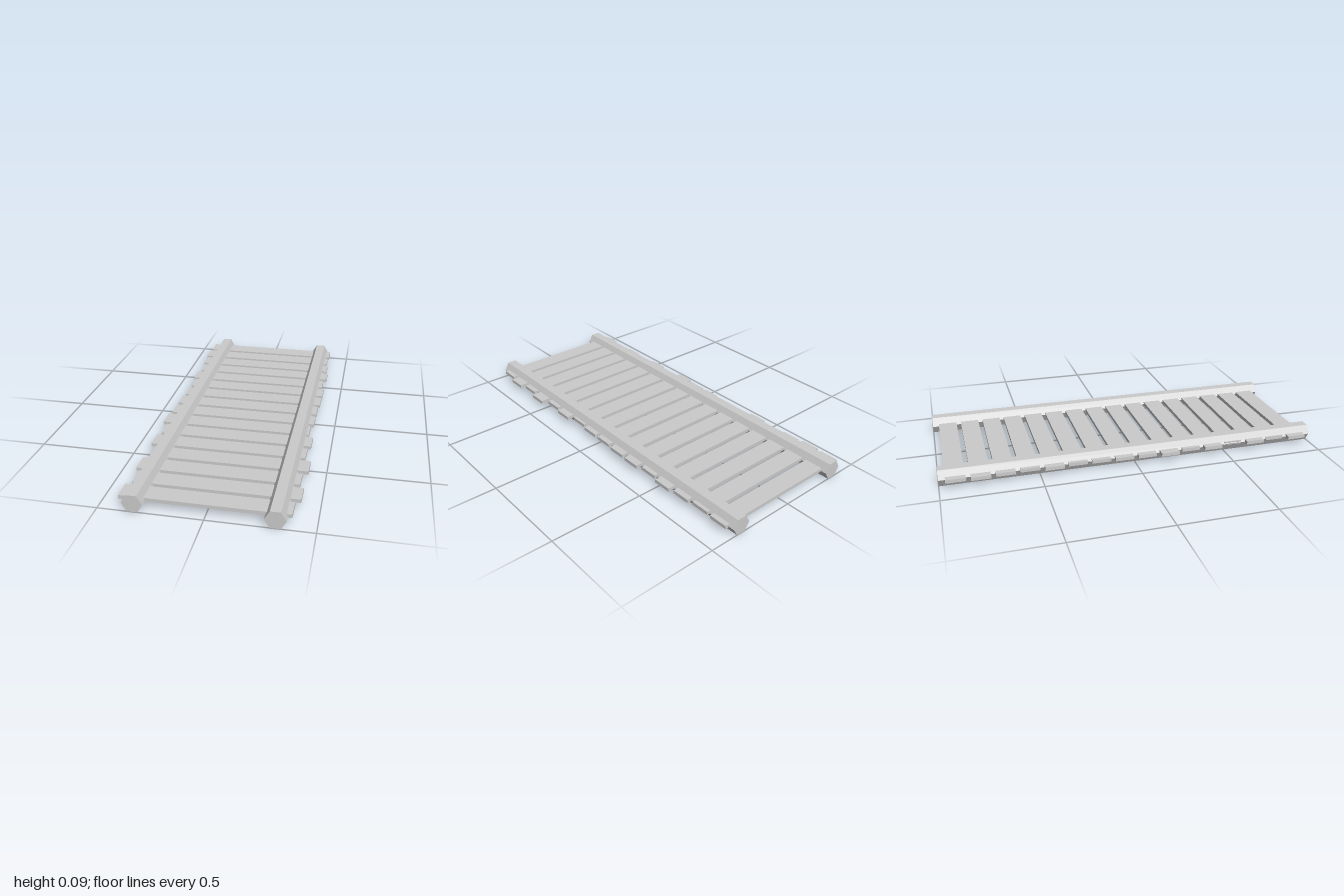
import * as THREE from 'three';

export function createModel() {
  const group = new THREE.Group();
  const material = new THREE.MeshStandardMaterial({ color: 0xcccccc, flatShading: true });
  const railRadius = 0.05;
  const railY = railRadius * Math.sqrt(3) / 2;

  // Two hexagonal rails resting on a flat side
  const railGeometry = new THREE.CylinderGeometry(railRadius, railRadius, 2, 6, 1, false, Math.PI / 2);
  railGeometry.rotateX(Math.PI / 2);
  for (const [name, x] of [['rightRail', -0.332], ['leftRail', 0.32]]) {
    const rail = new THREE.Mesh(railGeometry, material);
    rail.name = name;
    rail.position.set(x, railY, 0);
    group.add(rail);
  }

  // Slats running through the rails, each slid slightly sideways, from back to front
  const slatShifts = [
    -0.01, -0.016, -0.006, 0.005, -0.011, 0.004, 0.001, -0.007,
    -0.007, -0.021, 0.004, -0.011, 0.019, -0.007, 0.014, -0.01,
  ];
  const slatGeometry = new THREE.BoxGeometry(0.798, 0.018, 0.098);
  slatShifts.forEach((x, i) => {
    const slat = new THREE.Mesh(slatGeometry, material);
    slat.name = `slat${i + 1}`;
    slat.position.set(x, 0.046, -0.918 + i * 0.122);
    group.add(slat);
  });

  return group;
}
